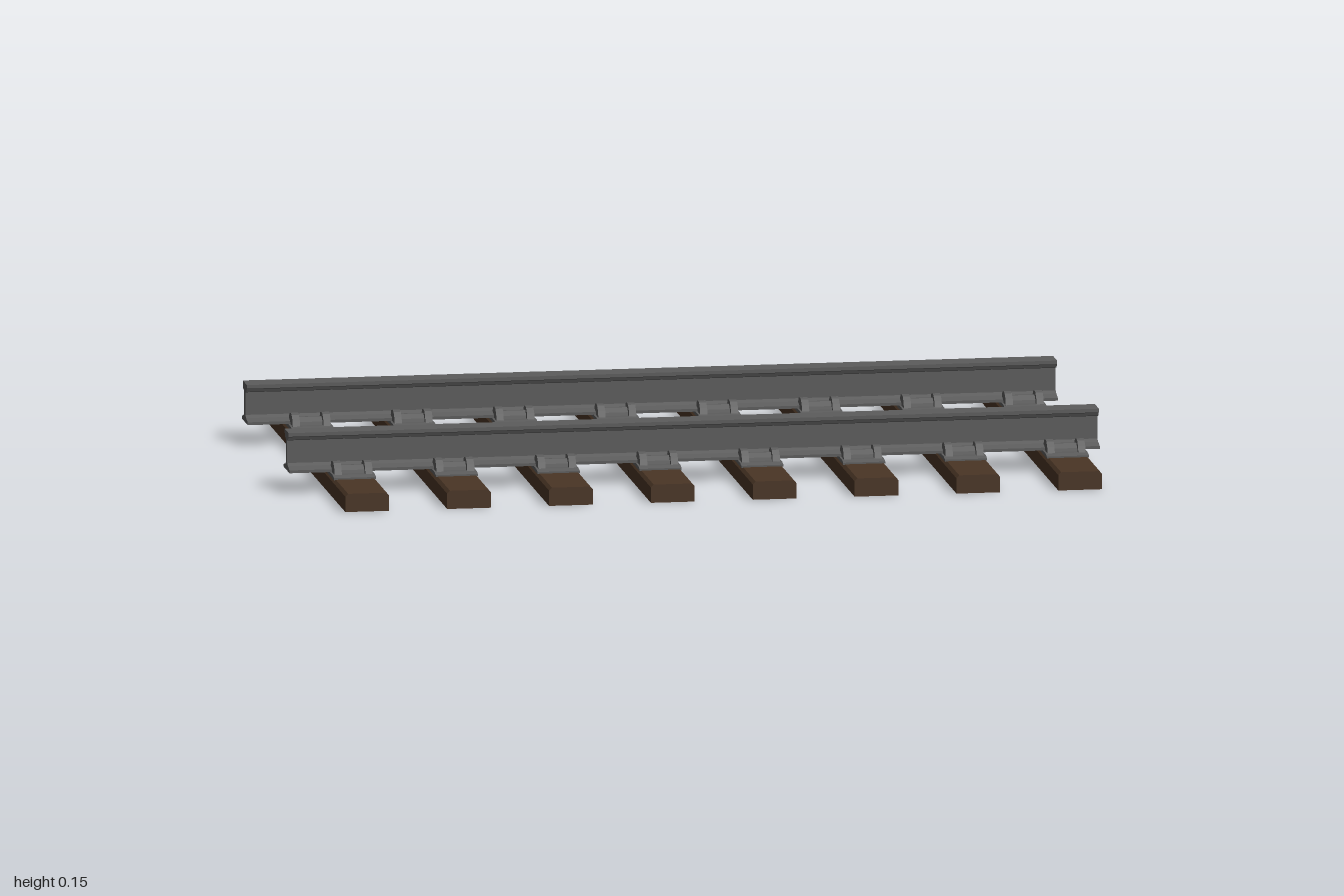
import * as THREE from 'three';

const wood = new THREE.MeshStandardMaterial({ color: 0x4a3525, flatShading: true });
const steel = new THREE.MeshStandardMaterial({ color: 0x5c5c5c, flatShading: true });

// Extrude a (z, y) profile along x, centred on x = 0
function alongX(points, length) {
  const shape = new THREE.Shape(points.map(([z, y]) => new THREE.Vector2(-z, y)));
  const geo = new THREE.ExtrudeGeometry(shape, { depth: length, bevelEnabled: false });
  geo.translate(0, 0, -length / 2);
  geo.rotateY(Math.PI / 2);
  return geo;
}

// Close a half profile by mirroring it across z = 0
const symmetric = (half) => [...half, ...half.map(([z, y]) => [-z, y]).reverse()];

function addMesh(parent, name, geometry, material, x = 0, y = 0, z = 0) {
  const mesh = new THREE.Mesh(geometry, material);
  mesh.name = name;
  mesh.position.set(x, y, z);
  parent.add(mesh);
  return mesh;
}

// Sleeper with chamfered long top edges, running along z
function sleeperGeometry() {
  const section = symmetric([[0.054, 0], [0.054, 0.038], [0.047, 0.045]]);
  return alongX(section, 1.216).rotateY(Math.PI / 2);
}

export function createModel() {
  const track = new THREE.Group();
  track.name = 'railwayTrack';

  const railGeo = alongX(symmetric([
    [0.044, 0.053], [0.044, 0.06], [0.02, 0.066], [0.009, 0.072],
    [0.009, 0.128], [0.024, 0.132], [0.027, 0.139], [0.031, 0.141], [0.031, 0.15],
  ]), 2);
  const plateGeo = alongX(symmetric([
    [0.104, 0.044], [0.104, 0.049], [0.085, 0.053],
  ]), 0.104);
  const ribGeo = alongX([
    [0.084, 0.05], [0.078, 0.068], [0.065, 0.079], [0.051, 0.082],
    [0.032, 0.078], [0.023, 0.066], [0.023, 0.058], [0.045, 0.058], [0.045, 0.05],
  ], 0.018);
  const padGeo = alongX([
    [0.068, 0.05], [0.066, 0.061], [0.052, 0.071], [0.034, 0.069],
    [0.034, 0.058], [0.045, 0.058], [0.045, 0.05],
  ], 0.064);
  const sleeperGeo = sleeperGeometry();

  // Base plate with a clip on each side of the rail
  function fastening() {
    const group = new THREE.Group();
    group.name = 'railFastening';
    addMesh(group, 'basePlate', plateGeo, steel);
    for (const turn of [0, Math.PI]) {
      const clip = new THREE.Group();
      clip.name = 'railClip';
      clip.rotation.y = turn;
      for (const side of [-1, 1]) addMesh(clip, 'clipRib', ribGeo, steel, side * 0.038);
      addMesh(clip, 'clipPad', padGeo, steel);
      group.add(clip);
    }
    return group;
  }

  const gauge = [-0.318, 0.318];
  for (const z of gauge) addMesh(track, 'rail', railGeo, steel, 0, 0, z);

  // Eight evenly spaced sleepers with their fastenings
  for (let i = 0; i < 8; i++) {
    const x = -0.848 + i * 0.2514;
    addMesh(track, 'sleeper', sleeperGeo, wood, x);
    for (const z of gauge) {
      const f = fastening();
      f.position.set(x, 0, z);
      track.add(f);
    }
  }
  return track;
}
